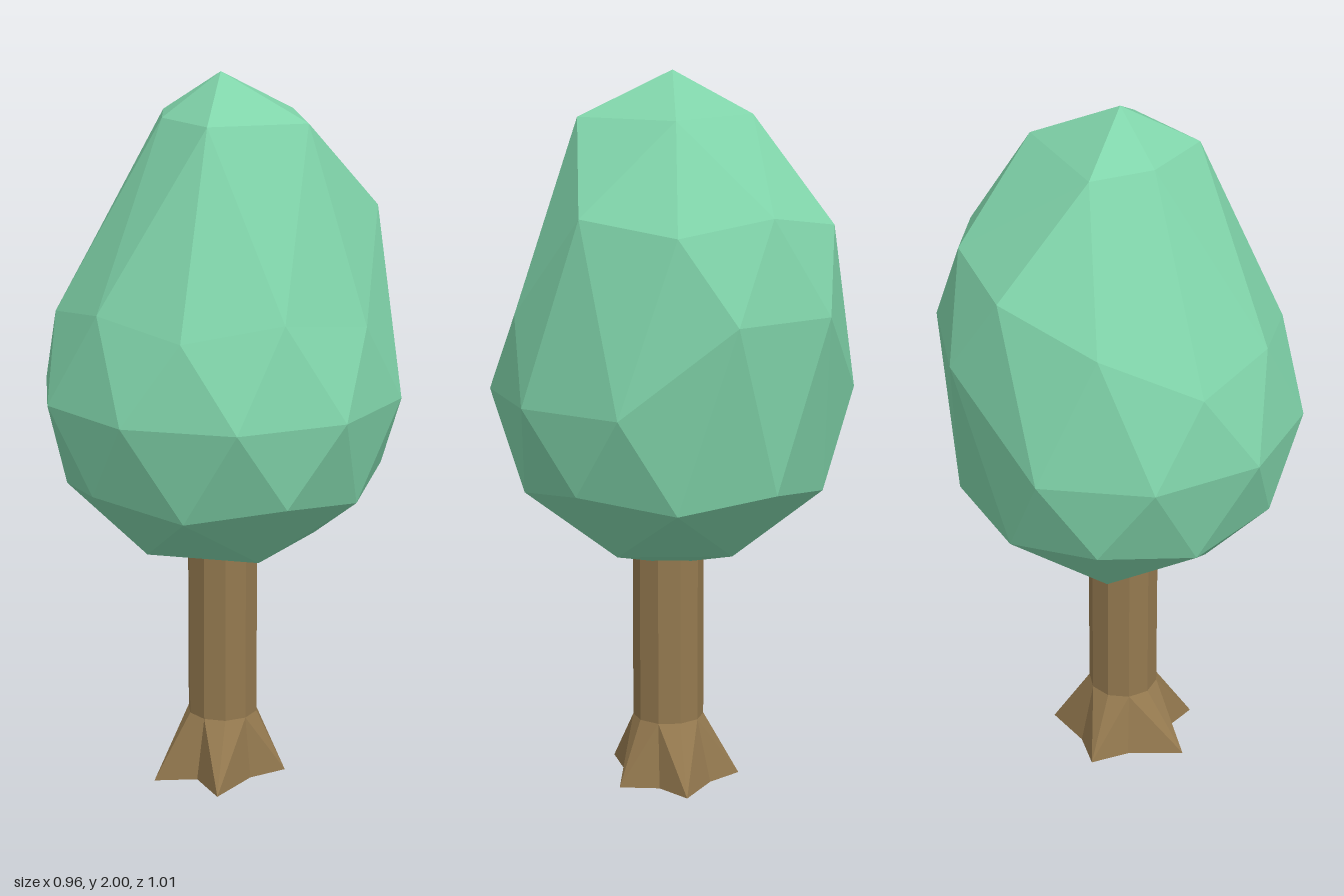
import * as THREE from 'three';

const LEAF = 0x80d4aa, BARK = 0x94794f;

// Point on a horizontal circle, angle in degrees, 90 facing the front
function polar(deg, r, y, cx = 0, cz = 0) {
  const a = THREE.MathUtils.degToRad(deg);
  return [cx + r * Math.cos(a), y, cz + r * Math.sin(a)];
}

function facetedMesh(name, points, faces, color) {
  let geo = new THREE.BufferGeometry();
  geo.setAttribute('position', new THREE.Float32BufferAttribute(points.flat(), 3));
  geo.setIndex(faces.flat());
  geo = geo.toNonIndexed();
  geo.computeVertexNormals();
  const mesh = new THREE.Mesh(geo, new THREE.MeshStandardMaterial({ color, flatShading: true }));
  mesh.name = name;
  return mesh;
}

// Crown: icosphere rings, with the top and the back pulled upward
function buildCrown() {
  const R = 0.505, mid = 1.13, lift = 0.24;
  const pts = [], faces = [];
  const add = (p) => pts.push(p) - 1;
  const ring = (n, f) => {
    const ids = Array.from({ length: n }, (_, j) => add(f(j)));
    return (j) => ids[j % n];
  };
  // a ring of ten alternates between corner and edge-middle vertices
  const zigzag = (j, corner, sign, up) => {
    const [r, h] = corner ? [0.8944, 0.4472] : [0.8506, 0.5257];
    return polar(36 * j, r * R, mid + sign * h * R + up);
  };
  const bottom = add([0, mid - R, 0]);
  const B = ring(5, (k) => polar(36 + 72 * k, 0.5257 * R, mid - 0.8507 * R));
  const L = ring(10, (j) => zigzag(j, j % 2 === 1, -1, 0));
  const E = ring(10, (j) => polar(18 + 36 * j, R, mid + (j === 6 || j === 7 ? lift : 0)));
  const U = ring(10, (j) => zigzag(j, j % 2 === 0, 1, j > 5 ? lift : j === 5 ? 0.09 : 0));
  const tips = [[0.27, 0], [0.08, 0.2], [-0.12, 0.105], [-0.215, -0.05], [0.08, -0.25]];
  const T = ring(5, (k) => [tips[k][0], 1.88, tips[k][1]]);
  const top = add([0, 2, 0]);

  for (let j = 0; j < 10; j++) {
    faces.push([L(j), E(j), L(j + 1)], [L(j + 1), E(j), E(j + 1)]);
    faces.push([E(j), U(j), U(j + 1)], [E(j), U(j + 1), E(j + 1)]);
  }
  for (let k = 0; k < 5; k++) {
    const j = 2 * k;
    faces.push([B(k), L(j), L(j + 1)], [B(k), L(j + 1), L(j + 2)]);
    faces.push([B(k), L(j + 2), B(k + 1)], [bottom, B(k), B(k + 1)]);
    faces.push([U(j), T(k), U(j + 1)], [U(j + 1), T(k), T(k + 1)]);
    faces.push([U(j + 1), T(k + 1), U(j + 2)], [T(k), top, T(k + 1)]);
  }
  return facetedMesh('crown', pts, faces, LEAF);
}

// Trunk: ten-sided column flaring into five root points
function buildTrunk() {
  const roots = [[0.11, 0.2], [-0.1, 0.2], [-0.18, -0.06], [0.03, -0.205], [0.18, -0.06]];
  const pts = [], faces = [];
  const column = (y) => (j) => polar(54 + 36 * j, 0.1, y, 0.01, 0.007);
  const foot = (j) => j % 2 === 0
    ? [roots[j / 2][0], 0, roots[j / 2][1]]
    : polar(54 + 36 * j, 0.13, 0);
  const rings = [foot, column(0.18), column(0.68)];
  for (const f of rings) for (let j = 0; j < 10; j++) pts.push(f(j));
  const under = pts.push([0, 0, 0]) - 1;
  const cap = pts.push([0.01, 0.68, 0.007]) - 1;
  for (let j = 0; j < 10; j++) {
    const n = (j + 1) % 10;
    for (const o of [0, 10]) {
      // split each panel along its root ridge
      if (j % 2 === 0) faces.push([o + j, o + 10 + j, o + 10 + n], [o + j, o + 10 + n, o + n]);
      else faces.push([o + j, o + 10 + j, o + n], [o + n, o + 10 + j, o + 10 + n]);
    }
    faces.push([under, j, n], [cap, 20 + n, 20 + j]);
  }
  return facetedMesh('trunk', pts, faces, BARK);
}

export function createModel() {
  const tree = new THREE.Group();
  tree.name = 'tree';
  tree.add(buildTrunk(), buildCrown());
  return tree;
}
